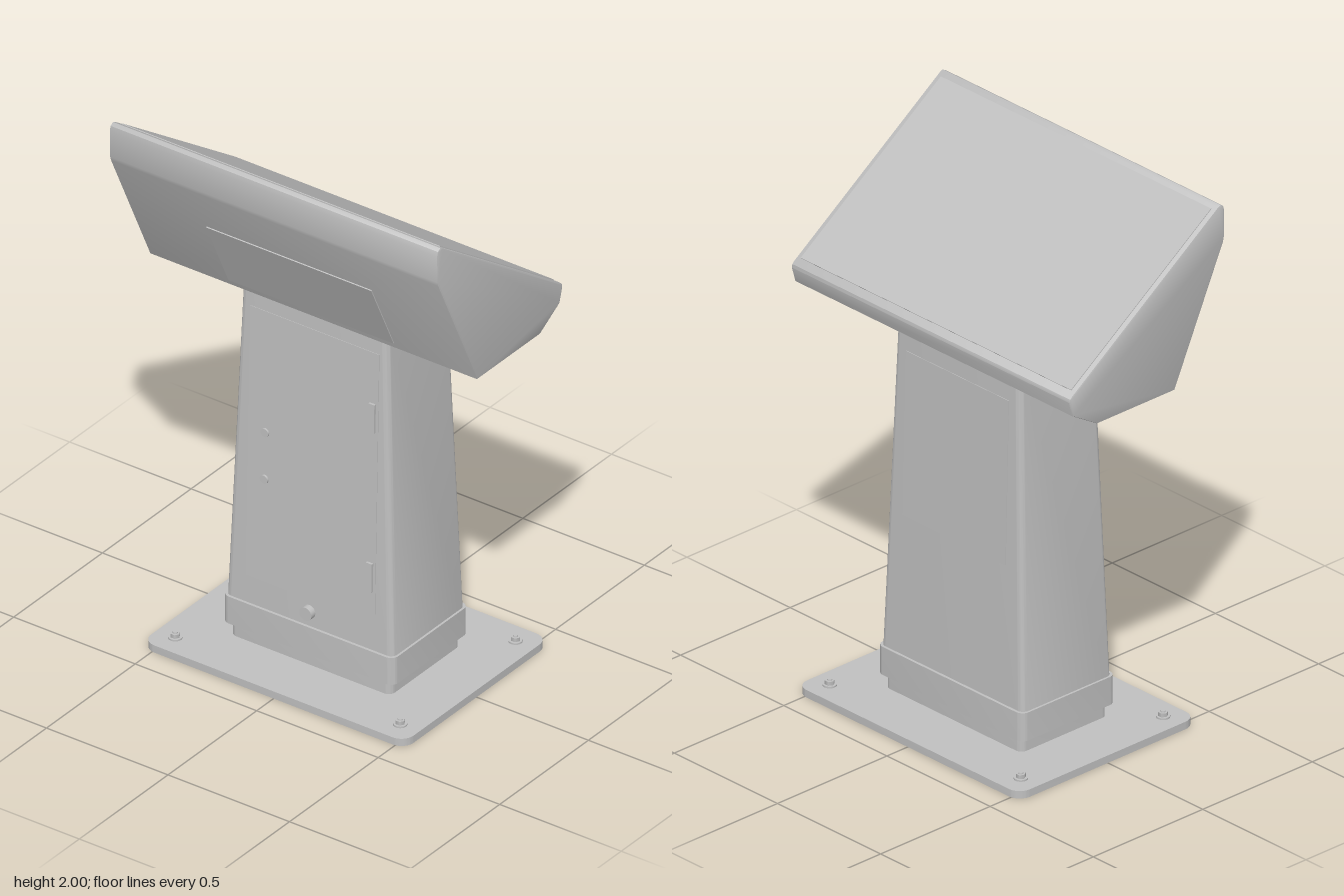
import * as THREE from 'three';
import { toCreasedNormals } from 'three/addons/utils/BufferGeometryUtils.js';

export function createModel() {
  const kiosk = new THREE.Group();
  kiosk.name = 'kiosk';
  const grey = new THREE.MeshStandardMaterial({ color: 0xc0c0c0 });
  grey.name = 'painted grey';

  function add(name, geometry, x = 0, y = 0, z = 0) {
    const mesh = new THREE.Mesh(geometry, grey);
    mesh.name = name;
    mesh.position.set(x, y, z);
    kiosk.add(mesh);
    return mesh;
  }

  // Upright block with rounded corners, tapering to topX, topZ (half sizes)
  function block(name, hx, hz, y0, y1, r, topX = hx, topZ = hz) {
    const s = new THREE.Shape();
    s.moveTo(-hx + r, -hz);
    s.lineTo(hx - r, -hz);
    s.absarc(hx - r, -hz + r, r, -Math.PI / 2, 0);
    s.absarc(hx - r, hz - r, r, 0, Math.PI / 2);
    s.absarc(-hx + r, hz - r, r, Math.PI / 2, Math.PI);
    s.absarc(-hx + r, -hz + r, r, Math.PI, Math.PI * 1.5);
    const g = new THREE.ExtrudeGeometry(s, { depth: y1 - y0, bevelEnabled: false, curveSegments: 6 });
    g.rotateX(-Math.PI / 2);
    const p = g.attributes.position;
    for (let i = 0; i < p.count; i++) {
      const t = p.getY(i) / (y1 - y0);
      p.setX(i, p.getX(i) * (1 + (topX / hx - 1) * t));
      p.setZ(i, p.getZ(i) * (1 + (topZ / hz - 1) * t));
    }
    return add(name, toCreasedNormals(g, 0.6), 0, y0, 0);
  }

  // Thin plate lying along a line in the xy plane, centred on that line
  function plate(name, a, b, z0, z1, thickness) {
    const dx = b[0] - a[0], dy = b[1] - a[1];
    const mesh = add(name, new THREE.BoxGeometry(Math.hypot(dx, dy), thickness, z1 - z0),
      (a[0] + b[0]) / 2, (a[1] + b[1]) / 2, (z0 + z1) / 2);
    mesh.rotation.z = Math.atan2(dy, dx);
    return mesh;
  }

  // Base, plinth, collar and tapered column
  block('basePlate', 0.405, 0.54, 0, 0.028, 0.05);
  block('plinth', 0.198, 0.33, 0.028, 0.09, 0.025);
  block('collar', 0.215, 0.353, 0.08, 0.185, 0.03);
  block('column', 0.205, 0.345, 0.18, 1.39, 0.025, 0.176, 0.3);

  // Anchor bolts
  for (const x of [-0.325, 0.325]) {
    for (const z of [-0.463, 0.463]) {
      add('washer', new THREE.CylinderGeometry(0.024, 0.024, 0.006, 20), x, 0.031, z);
      add('boltHead', new THREE.CylinderGeometry(0.017, 0.017, 0.014, 6).toNonIndexed(), x, 0.041, z);
      add('boltTip', new THREE.CylinderGeometry(0.008, 0.009, 0.006, 12), x, 0.05, z);
    }
  }

  // Wedge-shaped display housing
  const bevel = 0.005;
  const profile = [[-0.176, 1.388], [0.173, 1.388], [0.281, 1.452], [0.296, 1.505], [0.294, 1.514],
    [0.286, 1.522], [-0.379, 1.992], [-0.388, 1.996], [-0.398, 1.99], [-0.402, 1.975], [-0.4, 1.875], [-0.396, 1.86]];
  const housing = new THREE.ExtrudeGeometry(
    new THREE.Shape(profile.map(([x, y]) => new THREE.Vector2(x, y))),
    { depth: 1.35 - 2 * bevel, bevelSize: bevel, bevelThickness: bevel, bevelSegments: 2 });
  housing.translate(0, 0, -0.675 + bevel);
  add('displayHousing', toCreasedNormals(housing, 0.5));

  // Sloping screen and rear cover
  plate('screen', [-0.365, 1.988], [0.275, 1.536], -0.655, 0.655, 0.006);
  plate('rearCover', [-0.192, 1.408], [-0.319, 1.678], -0.34, 0.34, 0.004);

  // Plates following the column's tapered front and rear faces
  const faceX = (y) => 0.205 - 0.029 * (y - 0.18) / 1.21;
  plate('frontPanel', [faceX(0.7), 0.7], [faceX(1.31), 1.31], -0.25, 0.25, 0.004);
  plate('rearDoor', [-faceX(0.29), 0.29], [-faceX(1.33), 1.33], -0.26, 0.27, 0.004);

  // Door hinges
  for (const y of [0.41, 1.025]) {
    plate('hinge', [-faceX(y) - 0.004, y], [-faceX(y + 0.11) - 0.004, y + 0.11], 0.235, 0.26, 0.014);
  }

  // Door locks and cable gland
  for (const [name, y, z, r, length] of [['lock', 0.865, -0.19, 0.016, 0.012],
    ['lock', 0.685, -0.19, 0.016, 0.012], ['cableGland', 0.24, 0, 0.025, 0.03]]) {
    const mesh = add(name, new THREE.CylinderGeometry(r, r, length, 20), -faceX(y) - length / 4, y, z);
    mesh.rotation.z = Math.PI / 2;
  }
  return kiosk;
}
